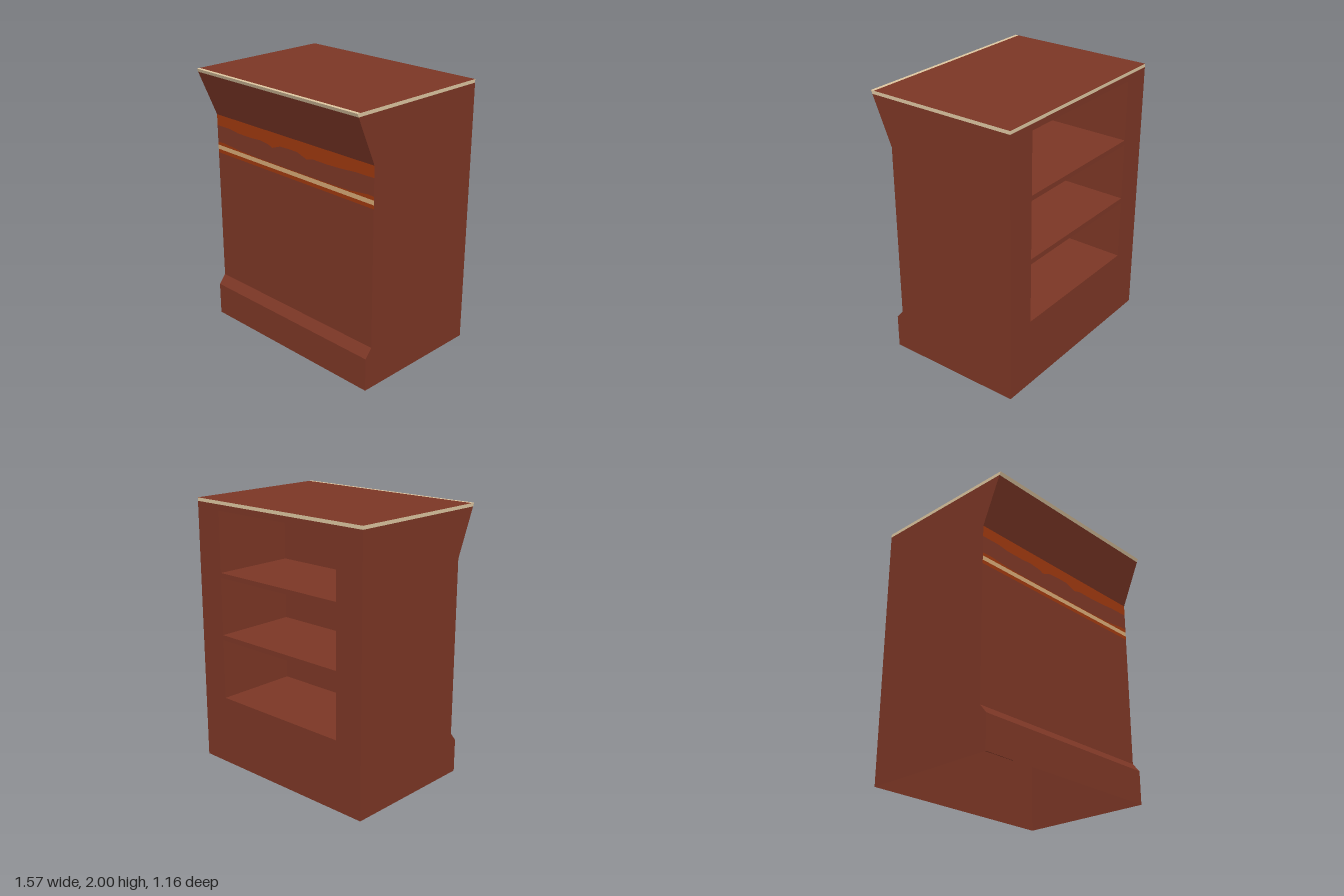
import * as THREE from 'three';

const W = 0.787;      // half width
const BACK = -0.58;
const FRONT = 0.42;   // plane of the main front panel
const RIM = 1.975;    // underside of the top trim
const RIM_Z = 0.569;

const mat = (name, color) => {
  const m = new THREE.MeshStandardMaterial({ color, side: THREE.DoubleSide });
  m.name = name;
  return m;
};

// Flat-sided strip: sweeps a [z, y] profile across the width
function ribbon(profile, w = W) {
  const pos = [];
  for (let i = 0; i < profile.length - 1; i++) {
    const [z0, y0] = profile[i], [z1, y1] = profile[i + 1];
    pos.push(-w, y0, z0, w, y0, z0, w, y1, z1, -w, y0, z0, w, y1, z1, -w, y1, z1);
  }
  const g = new THREE.BufferGeometry();
  g.setAttribute('position', new THREE.Float32BufferAttribute(pos, 3));
  g.computeVertexNormals();
  return g;
}

const shapeOf = (pts) => new THREE.Shape(pts.map(([x, y]) => new THREE.Vector2(x, y)));

// Upright panel from a [z, y] outline, facing +x (s = 1) or -x (s = -1)
function sidePanel(outline, s, x = W) {
  return new THREE.ShapeGeometry(shapeOf(outline.map(([z, y]) => [-s * z, y])))
    .rotateY(s * Math.PI / 2).translate(s * x, 0, 0);
}

export function createModel() {
  const group = new THREE.Group();
  const brown = mat('brown wood', 0x7b3625);
  const orange = mat('orange paint', 0x9c370e);
  const tan = mat('tan stripe', 0xd2a673);
  const cream = mat('cream trim', 0xdcc5a0);
  const add = (name, geometry, material) => {
    const m = new THREE.Mesh(geometry, material);
    m.name = name;
    group.add(m);
  };

  // Sides and their trim
  const outline = [[BACK, 0], [0.475, 0], [0.475, 0.25], [FRONT, 0.317], [FRONT, 1.63], [RIM_Z, RIM], [BACK, RIM]];
  const rimOutline = [[BACK, RIM], [RIM_Z, RIM], [0.58, 2], [BACK, 2]];
  for (const [side, s] of [['left', 1], ['right', -1]]) {
    add(side + 'Side', sidePanel(outline, s), brown);
    add(side + 'Trim', sidePanel(rimOutline, s), cream);
  }

  // Front: plinth, panel and flared head
  add('plinthAndFrontPanel', ribbon([[0.475, 0], [0.475, 0.25], [FRONT, 0.317], [FRONT, 1.335]]), brown);
  add('flaredHead', ribbon([[FRONT, 1.63], [RIM_Z, RIM]]), brown);
  add('frontTrim', ribbon([[RIM_Z, RIM], [0.58, 2]]), cream);

  // Painted front bands
  add('lowerOrangeStripe', ribbon([[FRONT, 1.335], [FRONT, 1.362]]), orange);
  add('tanStripe', ribbon([[FRONT, 1.362], [FRONT, 1.395]]), tan);
  const upperWave = [[-W, 1.547], [-0.64, 1.547], [-0.55, 1.535], [-0.4, 1.534], [-0.31, 1.54], [-0.22, 1.53],
    [-0.18, 1.514], [-0.1, 1.543], [0, 1.547], [0.08, 1.545], [0.17, 1.515], [0.23, 1.531], [0.36, 1.53],
    [0.5, 1.535], [0.62, 1.545], [W, 1.547]];
  const lowerWave = [[-W, 1.416], [-0.72, 1.42], [-0.54, 1.405], [-0.35, 1.4], [0, 1.399], [0.35, 1.4],
    [0.56, 1.405], [0.66, 1.415], [0.74, 1.424], [W, 1.42]];
  const band = (name, low, high, material) =>
    add(name, new THREE.ShapeGeometry(shapeOf([...low, ...[...high].reverse()])).translate(0, 0, FRONT), material);
  band('thinOrangeEdge', [[-W, 1.395], [W, 1.395]], lowerWave, orange);
  band('wavyBrownBand', lowerWave, upperWave, brown);
  band('upperOrangeBand', upperWave, [[-W, 1.63], [W, 1.63]], orange);

  // Top
  add('top', ribbon([[0.553, 2], [BACK, 2]]), brown);
  add('topFrontLip', ribbon([[0.58, 2], [0.553, 2]]), cream);

  // Back with three open shelves
  const back = shapeOf([[-W, 0], [W, 0], [W, RIM], [-W, RIM]]);
  const n = 0.563, inner = 0.06;
  [[0.523, 0.977], [1.015, 1.446], [1.482, 1.93]].forEach(([lo, hi], i) => {
    back.holes.push(new THREE.Path([[-n, lo], [-n, hi], [n, hi], [n, lo]].map(([x, y]) => new THREE.Vector2(x, y))));
    const name = 'shelf' + (i + 1);
    add(name + 'Lining', ribbon([[BACK, hi], [inner, hi], [inner, lo], [BACK, lo]], n), brown);
    for (const s of [1, -1]) {
      add(name + (s > 0 ? 'LeftWall' : 'RightWall'),
        sidePanel([[BACK, lo], [inner, lo], [inner, hi], [BACK, hi]], -s, -n), brown);
    }
  });
  add('backPanel', new THREE.ShapeGeometry(back).rotateY(Math.PI).translate(0, 0, BACK), brown);
  add('backTrim', ribbon([[BACK, 2], [BACK, RIM]]), cream);

  return group;
}
